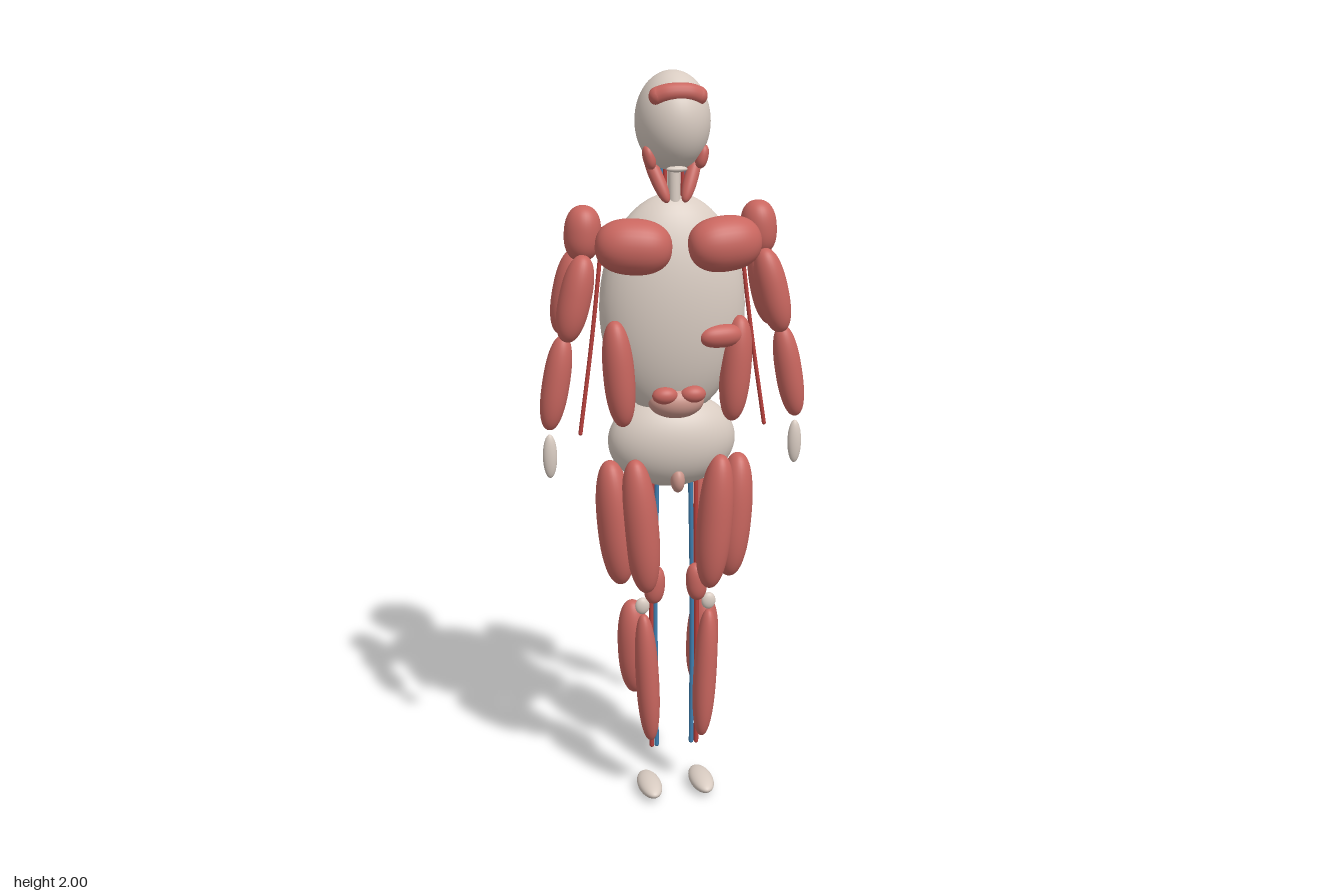
import * as THREE from 'three';

const mat = (name, color) => {
  const m = new THREE.MeshStandardMaterial({ color });
  m.name = name;
  return m;
};

export function createModel() {
  const root = new THREE.Group();
  root.name = 'anatomyFigure';
  const bone = mat('bone', 0xd9ccc2);
  const muscle = mat('muscle', 0xc9665f);
  const artery = mat('artery', 0xb8403c);
  const vein = mat('vein', 0x3f7fb0);
  const organ = mat('organ', 0xcc968b);

  const add = (name, geometry, material) => {
    const mesh = new THREE.Mesh(geometry, material);
    mesh.name = name;
    root.add(mesh);
    return mesh;
  };

  // Ellipsoid from centre and radii
  const blob = (name, c, r, material) => {
    const mesh = add(name, new THREE.SphereGeometry(1, 40, 28), material);
    mesh.position.set(...c);
    mesh.scale.set(...r);
    return mesh;
  };

  // Full-bellied spindle between two end points, with a width and a depth radius
  const spindle = (name, a, b, rx, rz, material = muscle, power = 2.35) => {
    const pts = [];
    for (let i = 0; i <= 28; i++) {
      const s = -Math.cos((Math.PI * i) / 28);
      pts.push(new THREE.Vector2(Math.pow(Math.max(0, 1 - Math.abs(s) ** power), 1 / power), s));
    }
    const mesh = add(name, new THREE.LatheGeometry(pts, 32), material);
    const va = new THREE.Vector3(...a), vb = new THREE.Vector3(...b);
    const dir = va.clone().sub(vb);
    mesh.position.copy(va).add(vb).multiplyScalar(0.5);
    mesh.scale.set(rx, dir.length() / 2, rz);
    mesh.quaternion.setFromUnitVectors(new THREE.Vector3(0, 1, 0), dir.normalize());
    return mesh;
  };

  // Round tube through points, closed by ball ends
  const tube = (name, points, r, material) => {
    const v = points.map((p) => new THREE.Vector3(...p));
    add(name, new THREE.TubeGeometry(new THREE.CatmullRomCurve3(v), 24, r, 14), material);
    [points[0], points[points.length - 1]].forEach((p) => {
      const cap = add(name + 'End', new THREE.SphereGeometry(r, 14, 10), material);
      cap.position.set(...p);
    });
  };

  // Skeleton masses on the centre line
  blob('skull', [0, 1.873, -0.018], [0.097, 0.127, 0.11], bone);
  blob('ribcage', [0, 1.39, -0.02], [0.195, 0.3, 0.113], bone);
  blob('pelvis', [0, 1.025, -0.03], [0.174, 0.13, 0.103], bone);
  tube('neckSpine', [[0, 1.79, -0.048], [0, 1.7, -0.062], [0, 1.61, -0.085]], 0.021, bone);
  blob('throatBone', [0, 1.756, 0.035], [0.028, 0.008, 0.012], bone);
  tube('throat', [[0, 1.75, 0.0], [0, 1.66, 0.005]], 0.016, bone);

  // Forehead band and lower belly
  tube('foreheadMuscle', [[-0.052, 1.94, 0.048], [-0.025, 1.948, 0.056],
    [0.025, 1.948, 0.056], [0.052, 1.94, 0.048]], 0.024, muscle);
  blob('lowerBelly', [0, 1.145, 0.025], [0.075, 0.047, 0.055], organ);
  blob('pubicPart', [0, 0.93, 0.045], [0.019, 0.034, 0.025], organ);
  spindle('sideOrgan', [0.05, 1.325, 0.078], [0.17, 1.325, 0.06], 0.031, 0.03);

  for (const s of [1, -1]) {
    const side = s > 0 ? 'left' : 'right';
    const p = (x, y, z) => [s * x, y, z];
    const m = (name, a, b, rx, rz, material) => spindle(side + name, p(...a), p(...b), rx, rz, material);

    // Jaw and neck
    m('JawMuscle', [0.076, 1.815, 0.018], [0.062, 1.755, 0.02], 0.016, 0.02);
    m('NeckMuscle', [0.068, 1.79, -0.022], [0.022, 1.67, 0.026], 0.018, 0.018);
    tube(side + 'NeckVein', [p(0.032, 1.79, -0.012), p(0.03, 1.66, -0.012)], 0.006, vein);
    tube(side + 'NeckArtery', [p(0.024, 1.79, -0.002), p(0.022, 1.66, -0.002)], 0.005, artery);

    // Chest, flank and belly
    m('ChestMuscle', [0.217, 1.572, 0.05], [0.022, 1.56, 0.078], 0.072, 0.065);
    m('FlankMuscle', [0.168, 1.372, 0.045], [0.146, 1.088, 0.045], 0.041, 0.045);
    blob(side + 'BellyMuscle', p(0.038, 1.17, 0.062), [0.034, 0.023, 0.024], muscle);

    // Arm
    m('ShoulderMuscle', [0.23, 1.662, -0.03], [0.24, 1.518, -0.032], 0.048, 0.05);
    m('FrontArmMuscle', [0.238, 1.54, 0.01], [0.29, 1.315, 0.012], 0.042, 0.044);
    m('BackArmMuscle', [0.245, 1.545, -0.068], [0.29, 1.318, -0.072], 0.043, 0.046);
    m('ForearmMuscle', [0.294, 1.33, 0.0], [0.338, 1.078, 0.0], 0.036, 0.037);
    blob(side + 'Hand', p(0.336, 1.005, 0), [0.019, 0.06, 0.014], bone);
    tube(side + 'ArmArtery', [p(0.182, 1.6, -0.03), p(0.215, 1.32, -0.02), p(0.252, 1.06, -0.01)], 0.0055, artery);

    // Thigh and knee
    m('OuterThighMuscle', [0.178, 0.985, 0.008], [0.15, 0.635, 0.012], 0.049, 0.058);
    m('FrontThighMuscle', [0.118, 0.995, 0.05], [0.086, 0.618, 0.05], 0.048, 0.052);
    m('InnerKneeMuscle', [0.056, 0.68, 0.02], [0.062, 0.572, 0.018], 0.029, 0.026);
    m('InnerThighMuscle', [0.075, 0.95, -0.012], [0.062, 0.6, -0.008], 0.015, 0.015);
    blob(side + 'Kneecap', p(0.093, 0.567, 0.02), [0.02, 0.024, 0.012], bone);

    // Lower leg and foot
    m('ShinMuscle', [0.092, 0.545, 0.03], [0.072, 0.165, 0.028], 0.032, 0.037);
    m('CalfMuscle', [0.104, 0.548, -0.075], [0.094, 0.268, -0.08], 0.045, 0.046);
    blob(side + 'Foot', p(0.075, 0.022, 0.018), [0.033, 0.022, 0.077], bone);

    // Leg vessels
    tube(side + 'LegVein', [p(0.046, 0.95, -0.004), p(0.052, 0.55, -0.004), p(0.05, 0.135, -0.002)], 0.0065, vein);
    tube(side + 'LegArtery', [p(0.06, 0.95, 0.0), p(0.064, 0.55, 0.0), p(0.064, 0.135, 0.0)], 0.0065, artery);
  }
  return root;
}
